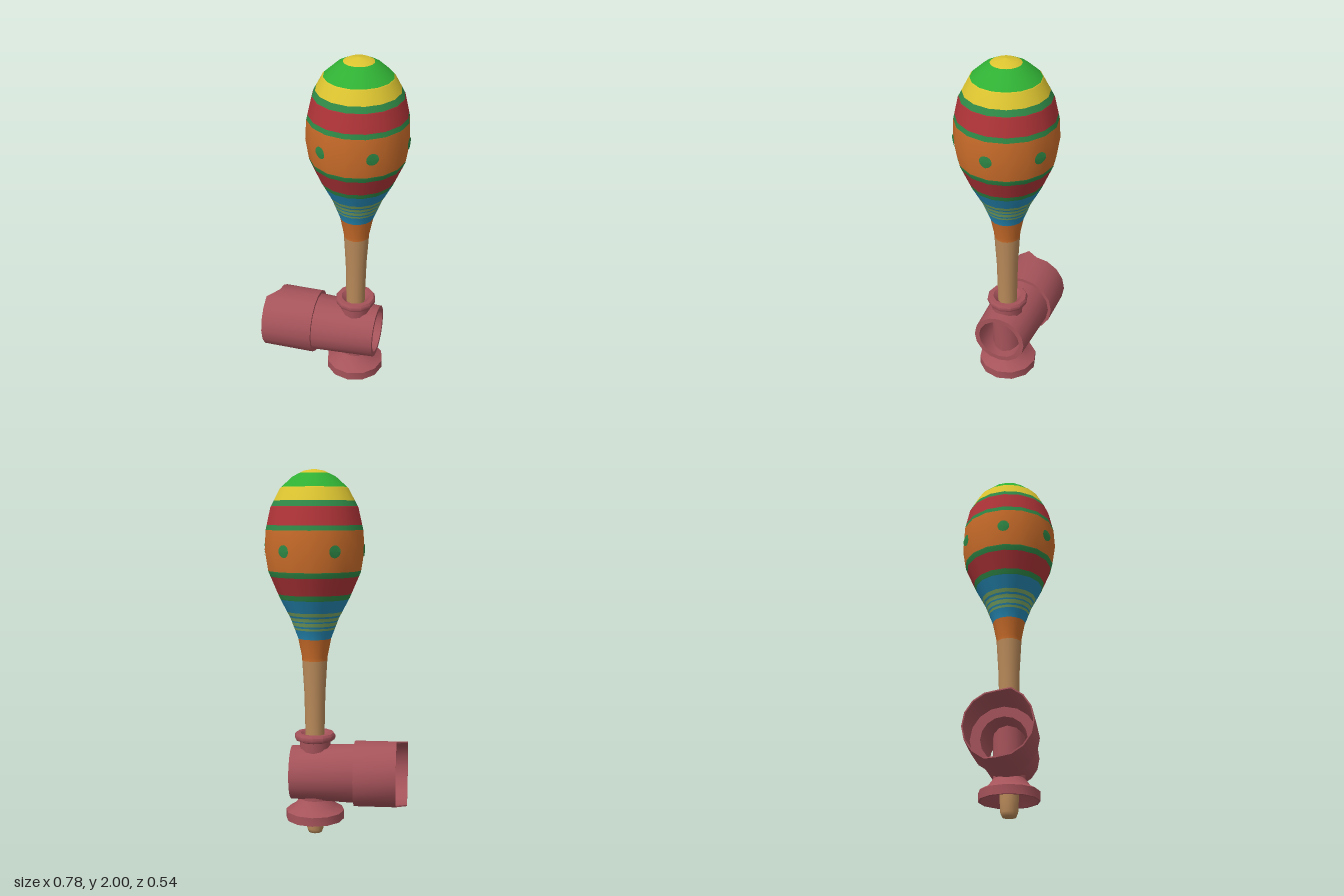
import * as THREE from 'three';
import { toCreasedNormals } from 'three/addons/utils/BufferGeometryUtils.js';

const SIDES = 16;
const AXIS_X = 0.12;

const mat = (name, color) => {
  const m = new THREE.MeshStandardMaterial({ color });
  m.name = name;
  return m;
};
const vec = (pts) => pts.map(([x, y]) => new THREE.Vector2(x, y));

// maraca outline as [radius, height], bottom to top
const OUTLINE = [
  [0, 0], [0.036, 0.008], [0.046, 0.03], [0.05, 0.1], [0.053, 0.58], [0.058, 0.8], [0.07, 1.0],
  [0.09, 1.1], [0.132, 1.21], [0.19, 1.32], [0.25, 1.46], [0.268, 1.575], [0.262, 1.68],
  [0.235, 1.8], [0.182, 1.9], [0.115, 1.96], [0.055, 1.99], [0, 2.0],
];

function radiusAt(y) {
  const i = Math.max(1, OUTLINE.findIndex((p) => p[1] >= y));
  const [r0, y0] = OUTLINE[i - 1], [r1, y1] = OUTLINE[i];
  return r0 + ((r1 - r0) * (y - y0)) / (y1 - y0);
}

// one lathe whose rows are grouped by painted band: [top height, material index]
function bandedLathe(bands) {
  const rows = [...OUTLINE];
  for (const [top] of bands) {
    if (!rows.some((p) => Math.abs(p[1] - top) < 1e-6)) rows.push([radiusAt(top), top]);
  }
  rows.sort((a, b) => a[1] - b[1]);
  const n = rows.length;
  const geo = new THREE.LatheGeometry(vec(rows), SIDES);
  const index = [];
  for (let j = 0; j < n - 1; j++) {
    const mid = (rows[j][1] + rows[j + 1][1]) / 2;
    geo.addGroup(index.length, SIDES * 6, bands.find((b) => mid < b[0])[1]);
    for (let i = 0; i < SIDES; i++) {
      const a = j + i * n, b = a + n;
      index.push(a, b, a + 1, b + 1, a + 1, b);
    }
  }
  geo.setIndex(index);
  return geo;
}

// round dot wrapped onto the faceted head
function dotGeometry(angle, y, size) {
  const geo = new THREE.CircleGeometry(size, 16);
  const p = geo.attributes.position;
  const step = (Math.PI * 2) / SIDES;
  for (let i = 0; i < p.count; i++) {
    const h = y + p.getY(i);
    const phi = angle + p.getX(i) / 0.268;
    const local = phi - (Math.floor(phi / step) + 0.5) * step;
    const r = (radiusAt(h) * Math.cos(step / 2)) / Math.cos(local) + 0.004;
    p.setXYZ(i, Math.sin(phi) * r, h, Math.cos(phi) * r);
  }
  geo.computeVertexNormals();
  return geo;
}

// sharp-edged turned part; alongX lays it on its side
function turned(pts, sides, alongX, rule) {
  const geo = new THREE.LatheGeometry(vec(pts), sides);
  if (alongX) geo.rotateZ(-Math.PI / 2);
  if (rule) {
    const p = geo.attributes.position;
    for (let i = 0; i < p.count; i++) rule(p, i);
  }
  return toCreasedNormals(geo, 0.6);
}

export function createModel() {
  const model = new THREE.Group();
  model.name = 'maracaInPipeFitting';

  const wood = mat('wood', 0xb98a5a);
  const orange = mat('orange', 0xcb6d2a);
  const blue = mat('blue', 0x2688b4);
  const sage = mat('sageGreen', 0x7ba763);
  const darkGreen = mat('darkGreen', 0x2f8846);
  const red = mat('red', 0xb03438);
  const yellow = mat('yellow', 0xdcc430);
  const green = mat('brightGreen', 0x30b034);
  const clay = mat('clayRed', 0xa5535a);
  clay.side = THREE.DoubleSide;

  const add = (name, geo, material, x = 0, y = 0) => {
    const mesh = new THREE.Mesh(geo, material);
    mesh.name = name;
    mesh.position.set(x, y, 0);
    model.add(mesh);
    return mesh;
  };

  // maraca handle and painted head
  const palette = [wood, orange, blue, sage, darkGreen, red, yellow, green];
  const bands = [
    [0.98, 0], [1.1, 1], [1.15, 2], [1.162, 3], [1.172, 2], [1.192, 3], [1.2, 2], [1.218, 3],
    [1.228, 2], [1.247, 3], [1.315, 2], [1.343, 4], [1.437, 5], [1.467, 4], [1.682, 1],
    [1.708, 4], [1.805, 5], [1.835, 4], [1.905, 6], [1.978, 7], [2.01, 6],
  ].map(([top, m]) => [Math.min(top, 2), m]);
  add('maraca', bandedLathe(bands), palette, AXIS_X);

  // six dots around the widest band
  for (let i = 0; i < 6; i++) {
    add('headDot', dotGeometry(Math.PI / 2 + (i * Math.PI) / 3, 1.575, 0.033), darkGreen, AXIS_X);
  }

  // upright socket with collar above and hollow flared foot below
  add('socket', turned([
    [0.052, 0.2], [0.085, 0.18], [0.15, 0.09], [0.162, 0.09], [0.162, 0.138], [0.115, 0.165],
    [0.085, 0.205], [0.085, 0.53], [0.108, 0.54], [0.112, 0.55], [0.112, 0.565], [0.104, 0.577],
    [0.08, 0.577], [0.053, 0.55],
  ], 12), clay, AXIS_X);

  // narrow open pipe
  add('pipe', turned([
    [0.163, -0.1], [0.148, 0.25], [0.121, 0.25], [0.121, -0.1],
  ], SIDES, true), clay, 0, 0.35);

  // wide sleeve, its rear half cut shorter at the open end
  add('sleeve', turned([
    [0.181, -0.39], [0.181, -0.1], [0.121, -0.1], [0.121, -0.106], [0.174, -0.106], [0.174, -0.39], [0.181, -0.39],
  ], SIDES, true, (p, i) => {
    const z = p.getZ(i);
    const rear = z < -1e-3 || (z < 1e-3 && p.getY(i) > 0);
    if (p.getX(i) < -0.38 && rear) p.setX(i, -0.33);
  }), clay, 0, 0.35);

  return model;
}
